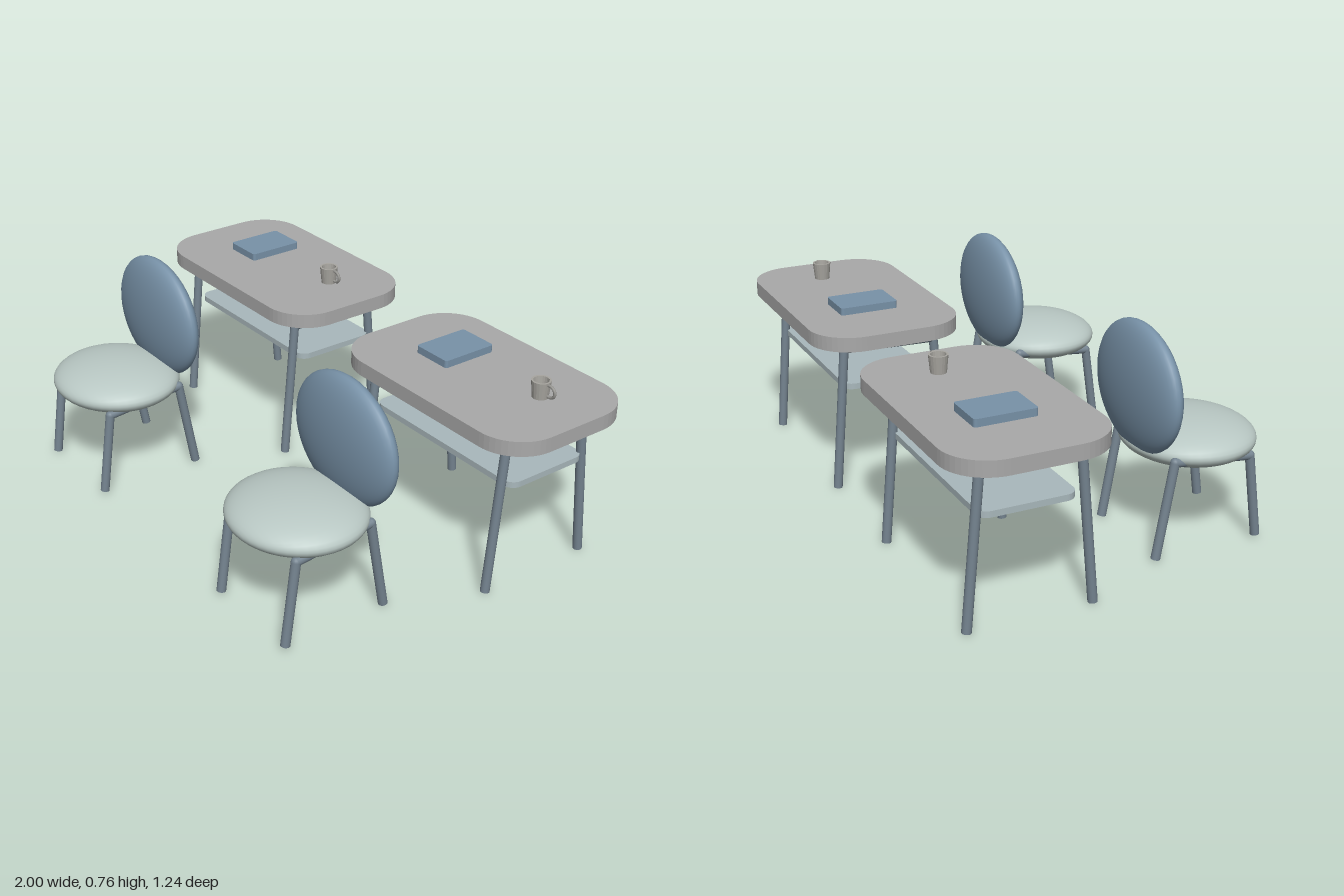
import * as THREE from 'three';

const mat = (color, extra = {}) => new THREE.MeshStandardMaterial({ color, ...extra });
const TUBE_R = 0.016;

function add(parent, name, geometry, material, x = 0, y = 0, z = 0) {
  const mesh = new THREE.Mesh(geometry, material);
  mesh.name = name;
  mesh.position.set(x, y, z);
  parent.add(mesh);
  return mesh;
}

// Flat slab with rounded corners, lying in xz, its underside at y = 0
function slab(width, depth, height, r, segments) {
  const w = width / 2, d = depth / 2, s = new THREE.Shape();
  s.moveTo(-w + r, -d);
  s.lineTo(w - r, -d);
  s.absarc(w - r, -d + r, r, -Math.PI / 2, 0);
  s.absarc(w - r, d - r, r, 0, Math.PI / 2);
  s.absarc(-w + r, d - r, r, Math.PI / 2, Math.PI);
  s.absarc(-w + r, -d + r, r, Math.PI, Math.PI * 1.5);
  const g = new THREE.ExtrudeGeometry(s, { depth: height, bevelEnabled: false, curveSegments: segments });
  return g.rotateX(-Math.PI / 2);
}

// Bent metal frame: straight tubes with a ball at each bend; points are [y, z]
function frame(parent, name, points, x, material) {
  const group = new THREE.Group();
  group.name = name;
  const pts = points.map(([y, z]) => new THREE.Vector3(x, y, z));
  for (let i = 0; i < pts.length - 1; i++) {
    const dir = pts[i + 1].clone().sub(pts[i]);
    const mid = pts[i].clone().add(pts[i + 1]).multiplyScalar(0.5);
    const tube = add(group, 'tube', new THREE.CylinderGeometry(TUBE_R, TUBE_R, dir.length(), 16), material, ...mid);
    tube.quaternion.setFromUnitVectors(new THREE.Vector3(0, 1, 0), dir.normalize());
    if (i > 0) add(group, 'bend', new THREE.SphereGeometry(TUBE_R, 16, 10), material, ...pts[i]);
  }
  parent.add(group);
}

function cushion(rx, ry, rz) {
  return new THREE.SphereGeometry(1, 40, 24).rotateX(Math.PI / 2).scale(rx, ry, rz);
}

function makeMug(material) {
  const mug = new THREE.Group();
  mug.name = 'mug';
  const profile = [[0, 0], [0.027, 0], [0.033, 0.061], [0.026, 0.061], [0.022, 0.012], [0, 0.012]];
  add(mug, 'mugBody', new THREE.LatheGeometry(profile.map(([x, y]) => new THREE.Vector2(x, y)), 20),
    mat(0xa8a6a0, { flatShading: true, side: THREE.DoubleSide }));
  // Handle towards +x
  const handle = new THREE.TorusGeometry(0.02, 0.005, 8, 20, Math.PI * 1.2);
  handle.rotateZ(-Math.PI * 0.6).scale(1.15, 1, 1);
  add(mug, 'mugHandle', handle, material, 0.039, 0.034, 0);
  return mug;
}

function makeTable(metal) {
  const table = new THREE.Group();
  table.name = 'table';
  const Z = -0.35;
  add(table, 'tableTop', slab(0.89, 0.54, 0.052, 0.155, 6), mat(0xa9a9a9), 0, 0.55, Z);
  add(table, 'shelf', slab(0.68, 0.325, 0.021, 0.04, 6), mat(0xa9b8bc), 0, 0.375, Z);
  for (const s of [-1, 1]) {
    frame(table, s > 0 ? 'leftTableFrame' : 'rightTableFrame',
      [[0.004, -0.124], [0.514, -0.17], [0.522, -0.505], [0.004, -0.549]], s * 0.32, metal);
  }
  add(table, 'book', slab(0.15, 0.21, 0.026, 0.01, 3), mat(0x7892a8), -0.15, 0.61, -0.37);
  const mug = makeMug(mat(0x999894));
  mug.position.set(0.242, 0.606, -0.384);
  table.add(mug);
  return table;
}

function makeChair(metal) {
  const chair = new THREE.Group();
  chair.name = 'chair';
  add(chair, 'seat', cushion(0.24, 0.074, 0.224), mat(0xb9c8c4), 0, 0.347, 0.4);
  add(chair, 'backrest', cushion(0.247, 0.219, 0.066), mat(0x7892a8), 0, 0.544, 0.21);
  for (const s of [-1, 1]) {
    frame(chair, s > 0 ? 'leftChairFrame' : 'rightChairFrame',
      [[0.014, 0.573], [0.309, 0.532], [0.337, 0.246], [0.008, 0.187]], s * 0.177, metal);
  }
  return chair;
}

export function createModel() {
  const model = new THREE.Group();
  model.name = 'tablesAndChairs';
  const metal = mat(0x74838f);
  // Two identical places side by side
  for (const x of [-0.555, 0.555]) {
    const place = new THREE.Group();
    place.name = x > 0 ? 'leftPlace' : 'rightPlace';
    place.position.x = x;
    place.add(makeTable(metal), makeChair(metal));
    model.add(place);
  }
  return model;
}
